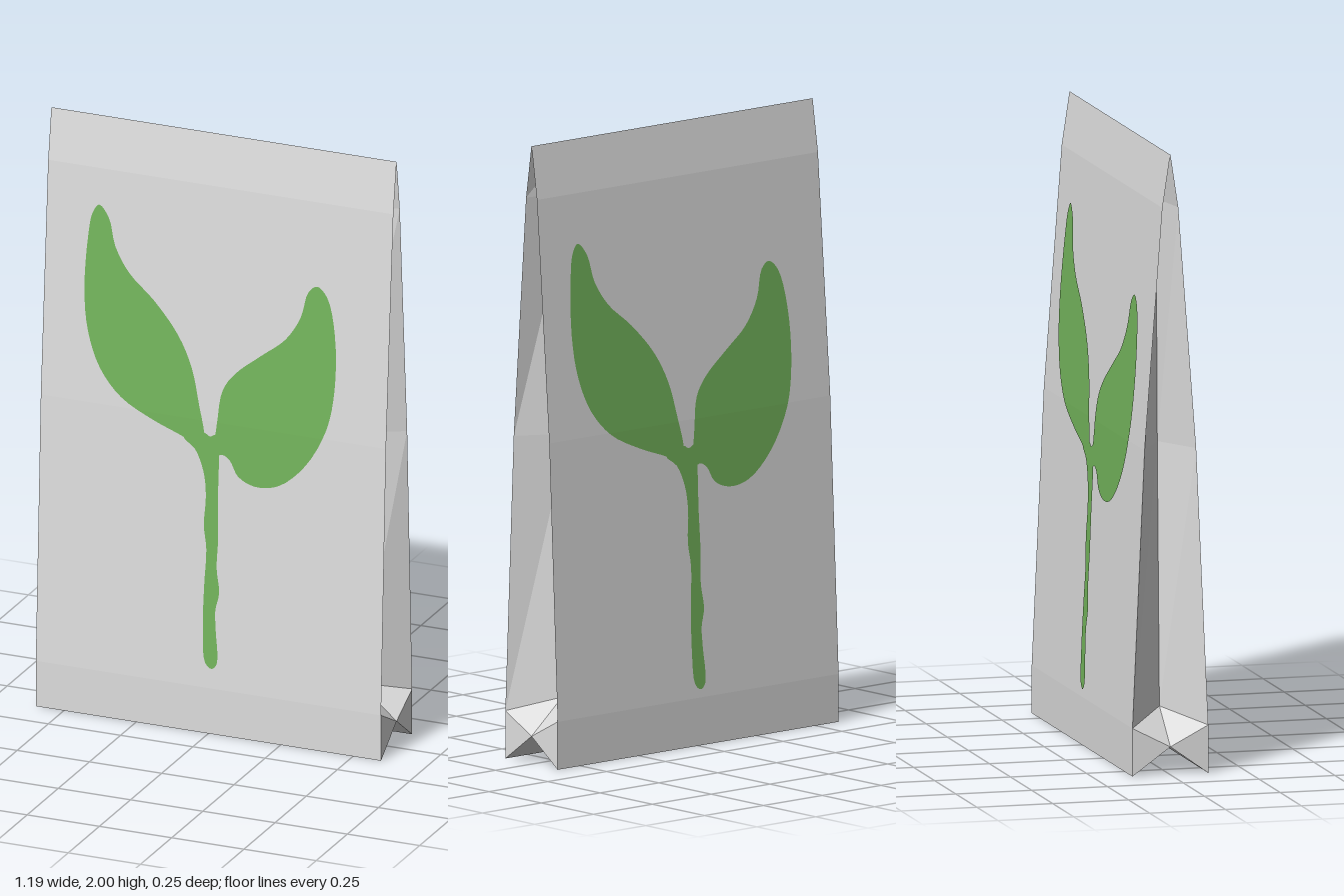
import * as THREE from 'three';

const W = 0.597;                 // half width of the bag
// Side profile: [height, half depth, how far the side gusset folds in]
const LEVELS = [
  [0, 0.125, 0],
  [0.155, 0.125, 0.13],
  [1.05, 0.085, 0.155],
  [1.83, 0.026, 0.17],
  [2, 0.0005, 0.175],
];
const BEND = LEVELS[2][0];

const paper = new THREE.MeshStandardMaterial({ color: 0xdedede, side: THREE.DoubleSide });
paper.name = 'paper';
const green = new THREE.MeshStandardMaterial({ color: 0x74b55c, side: THREE.DoubleSide });
green.name = 'leafGreen';

// Flat-shaded mesh from a list of polygons (triangles or quads)
function sheet(name, polygons) {
  const pos = [];
  for (const p of polygons)
    for (let i = 1; i < p.length - 1; i++) pos.push(...p[0], ...p[i], ...p[i + 1]);
  const geo = new THREE.BufferGeometry();
  geo.setAttribute('position', new THREE.Float32BufferAttribute(pos, 3));
  geo.computeVertexNormals();
  const mesh = new THREE.Mesh(geo, paper);
  mesh.name = name;
  return mesh;
}

// Half depth of the bag at a given height
function depthAt(y) {
  for (let i = 1; i < LEVELS.length; i++) {
    const [y0, z0] = LEVELS[i - 1], [y1, z1] = LEVELS[i];
    if (y <= y1) return z0 + (z1 - z0) * (y - y0) / (y1 - y0);
  }
  return 0;
}

// Broad panel: t = 1 front, t = -1 back
function panel(name, t) {
  const quads = [];
  for (let i = 1; i < LEVELS.length; i++) {
    const [y0, z0] = LEVELS[i - 1], [y1, z1] = LEVELS[i];
    quads.push([[-W * t, y0, z0 * t], [W * t, y0, z0 * t], [W * t, y1, z1 * t], [-W * t, y1, z1 * t]]);
  }
  return sheet(name, quads);
}

// Side folded inwards, with the tucked fold at its foot
function gusset(name, s) {
  const polys = [];
  const peak = [s * W, 0.09, 0];
  const fold = ([y, , d], i) => [s * (W - d), i === 1 ? 0.2 : y, 0];
  for (const t of [1, -1]) {
    const add = (...p) => polys.push(s * t > 0 ? p : p.reverse());
    const edge = ([y, z]) => [s * W, y, t * z];
    for (let i = 2; i < LEVELS.length; i++) {
      const a = LEVELS[i - 1], b = LEVELS[i];
      add(edge(a), fold(a, i - 1), fold(b, i), edge(b));
    }
    add(edge(LEVELS[1]), peak, fold(LEVELS[1], 1));
    add(edge(LEVELS[1]), edge(LEVELS[0]), peak);
  }
  return sheet(name, polys);
}

// Part of an outline above (sign 1) or below (sign -1) the bend line
function clip(pts, sign) {
  const out = [];
  pts.forEach((a, i) => {
    const b = pts[(i + 1) % pts.length];
    const da = (a.y - BEND) * sign, db = (b.y - BEND) * sign;
    if (da >= 0) out.push(a);
    if (da * db < 0) out.push(a.clone().lerp(b, da / (da - db)));
  });
  return out;
}

// Printed shape laid on the bent front panel
function print(name, outline, sx, dy) {
  const group = new THREE.Group();
  group.name = name;
  const curve = new THREE.CatmullRomCurve3(
    outline.map(([x, y]) => new THREE.Vector3(x * sx, y + dy, 0)), true, 'centripetal');
  const pts = curve.getPoints(outline.length * 4).slice(0, -1).map(p => new THREE.Vector2(p.x, p.y));
  for (const sign of [1, -1]) {
    const part = clip(pts, sign);
    if (part.length < 3) continue;
    const geo = new THREE.ShapeGeometry(new THREE.Shape(part));
    const pos = geo.attributes.position;
    for (let i = 0; i < pos.count; i++) pos.setZ(i, depthAt(pos.getY(i)) + 0.003);
    geo.computeVertexNormals();
    const mesh = new THREE.Mesh(geo, green);
    mesh.name = name + (sign > 0 ? 'Upper' : 'Lower');
    group.add(mesh);
  }
  return group;
}

const LARGE_LEAF = [
  [-0.415, 1.71], [-0.38, 1.67], [-0.355, 1.58], [-0.305, 1.5], [-0.215, 1.42], [-0.13, 1.32],
  [-0.08, 1.22], [-0.05, 1.1], [-0.03, 1.01], [-0.03, 0.95], [-0.1, 0.985], [-0.205, 1.025],
  [-0.32, 1.085], [-0.395, 1.17], [-0.44, 1.285], [-0.457, 1.42], [-0.45, 1.6], [-0.437, 1.68],
];
const SMALL_LEAF = [
  [0.01, 0.94], [0.015, 1.06], [0.03, 1.16], [0.07, 1.22], [0.16, 1.295], [0.24, 1.36],
  [0.29, 1.44], [0.315, 1.53], [0.345, 1.552], [0.38, 1.52], [0.41, 1.4], [0.415, 1.22],
  [0.39, 1.08], [0.32, 0.95], [0.23, 0.87], [0.15, 0.855], [0.09, 0.88], [0.06, 0.93], [0.035, 0.945],
];
const STEM = [
  [-0.1, 0.985], [-0.06, 0.95], [-0.03, 0.88], [-0.02, 0.8], [-0.025, 0.7], [-0.015, 0.62],
  [-0.02, 0.5], [-0.022, 0.35], [-0.012, 0.24], [0.01, 0.222], [0.028, 0.24], [0.022, 0.36],
  [0.02, 0.42], [0.032, 0.48], [0.022, 0.56], [0.025, 0.66], [0.022, 0.8], [0.022, 0.94],
  [0.014, 1.01], [-0.01, 1.0], [-0.03, 1.01],
];

function sprout(name, sx, dy) {
  const group = new THREE.Group();
  group.name = name;
  group.add(print('largeLeaf', LARGE_LEAF, sx, dy),
    print('smallLeaf', SMALL_LEAF, sx, dy),
    print('stem', STEM, sx, dy));
  return group;
}

export function createModel() {
  const bag = new THREE.Group();
  bag.name = 'paperBag';
  bag.add(panel('frontPanel', 1), panel('backPanel', -1));
  bag.add(gusset('leftGusset', 1), gusset('rightGusset', -1));

  // Base creased upwards along its middle
  const z = LEVELS[0][1];
  bag.add(sheet('base', [
    [[-W, 0, z], [-W, 0.09, 0], [W, 0.09, 0], [W, 0, z]],
    [[-W, 0.09, 0], [-W, 0, -z], [W, 0, -z], [W, 0.09, 0]],
  ]));

  // Sprout printed on both broad panels
  const back = sprout('backSprout', 1.055, -0.04);
  back.rotation.y = Math.PI;
  bag.add(sprout('frontSprout', 1, 0), back);
  return bag;
}
